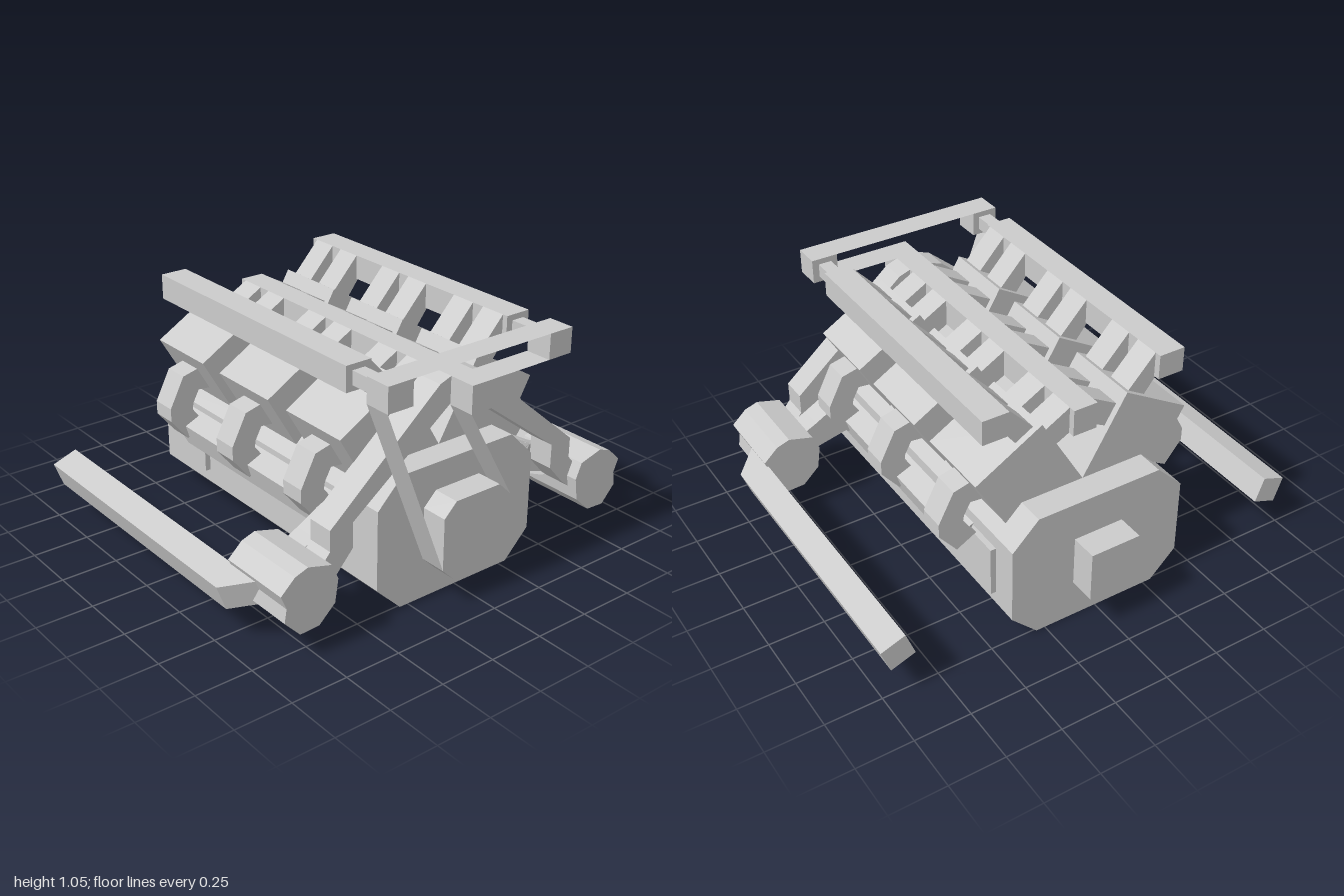
import * as THREE from 'three';

export function createModel() {
  const root = new THREE.Group();
  root.name = 'engine';
  const mat = new THREE.MeshStandardMaterial({ color: 0xcccccc, flatShading: true });
  const thin = new THREE.MeshStandardMaterial({ color: 0xcccccc, flatShading: true, side: THREE.DoubleSide });

  // Outline in x,y swept from z0 to z1; an optional rule shifts the ends for mitres
  function prism(name, pts, z0, z1, side = 1, rule = null) {
    const shape = new THREE.Shape(pts.map(([x, y]) => new THREE.Vector2(x, y)));
    const geo = new THREE.ExtrudeGeometry(shape, { depth: z1 - z0, bevelEnabled: false });
    geo.translate(0, 0, z0);
    if (rule) {
      const p = geo.attributes.position;
      for (let i = 0; i < p.count; i++) {
        p.setZ(i, rule(p.getX(i), p.getY(i), p.getZ(i) > (z0 + z1) / 2, p.getZ(i)));
      }
    }
    if (side < 0) {
      // mirror in x and turn the triangles round again
      geo.scale(-1, 1, 1);
      const p = geo.attributes.position;
      for (let i = 0; i < p.count; i += 3) {
        const a = [p.getX(i), p.getY(i), p.getZ(i)];
        p.setXYZ(i, p.getX(i + 1), p.getY(i + 1), p.getZ(i + 1));
        p.setXYZ(i + 1, ...a);
      }
    }
    geo.computeVertexNormals();
    const mesh = new THREE.Mesh(geo, mat);
    mesh.name = name;
    root.add(mesh);
  }
  const rect = (x0, x1, y0, y1) => [[x0, y0], [x1, y0], [x1, y1], [x0, y1]];
  const octagon = (w, y0, y1, c) => [
    [-w + c, y0], [w - c, y0], [w, y0 + c], [w, y1 - c],
    [w - c, y1], [-w + c, y1], [-w, y1 - c], [-w, y0 + c]];

  // Centre parts
  prism('crankcase', octagon(0.41, 0, 0.59, 0.12), -0.76, 0.76);
  prism('outputShaft', rect(-0.115, 0.115, 0.18, 0.41), -0.88, -0.76);
  prism('crankPulley', octagon(0.175, 0.12, 0.47, 0.06), 0.76, 0.88);
  prism('intakePlenum', rect(-0.055, 0.055, 0.82, 0.94), -0.64, 0.76);
  prism('idlerPulley', rect(-0.055, 0.055, 0.82, 0.94), 0.76, 0.88);

  // Drive belt: a thin closed ribbon around the pulleys
  const path = [[-0.47, 1.05], [0.47, 1.05], [0.47, 0.94], [-0.055, 0.94], [-0.055, 0.82],
    [0.175, 0.41], [0.175, 0.18], [0.115, 0.12], [-0.115, 0.12], [-0.175, 0.18], [-0.47, 0.94]];
  const pos = [], idx = [];
  path.forEach(([x, y], i) => {
    pos.push(x, y, 0.76, x, y, 0.88);
    const a = 2 * i, b = 2 * ((i + 1) % path.length);
    idx.push(a, a + 1, b, b, a + 1, b + 1);
  });
  const beltGeo = new THREE.BufferGeometry();
  beltGeo.setAttribute('position', new THREE.Float32BufferAttribute(pos, 3));
  beltGeo.setIndex(idx);
  beltGeo.computeVertexNormals();
  const belt = new THREE.Mesh(beltGeo, thin);
  belt.name = 'driveBelt';
  root.add(belt);

  for (const s of [1, -1]) {
    // Three cylinder heads per bank, each with two pairs of runners and one exhaust
    for (const z of [-0.465, 0.005, 0.47]) {
      prism('cylinderHead', [[0, 0.59], [0.2, 0.93], [0.5, 0.755], [0.365, 0.52], [0.2, 0.4]],
        z - 0.172, z + 0.172, s);
      for (const d of [-0.0875, 0.0875]) {
        const a = z + d - 0.058, b = z + d + 0.058;
        prism('intakeRunner', [[0.055, 0.94], [0.055, 0.82], [0.13, 0.78], [0.17, 0.875]], a, b, s);
        prism('railRunner', [[0.35, 1.05], [0.22, 0.91], [0.29, 0.85], [0.36, 0.94]], a, b, s);
      }
      prism('exhaustPipe', [[0.45, 0.685], [0.53, 0.665], [0.6, 0.53], [0.6, 0.47], [0.52, 0.37],
        [0.43, 0.42], [0.49, 0.5], [0.485, 0.53], [0.455, 0.585], [0.4, 0.58]],
        z - 0.058, z + 0.058, s);
    }

    // Upper rail with the shaft and pulley at its front
    prism('upperRail', rect(0.35, 0.47, 0.94, 1.05), -0.64, 0.64, s);
    prism('railShaft', rect(0.38, 0.44, 0.965, 1.025), 0.64, 0.76, s);
    prism('railPulley', rect(0.35, 0.47, 0.94, 1.05), 0.76, 0.88, s);

    // Plate on the flank of the crankcase
    prism('sidePlate', rect(0.4, 0.435, 0.18, 0.41), -0.64, -0.41, s);

    // Exhaust log, cut slanting at both ends, and its link to the turbo
    prism('exhaustLog', [[0.41, 0.3], [0.5, 0.33], [0.53, 0.43], [0.44, 0.47]], -0.5, 0.6, s,
      (x, y, front) => front ? 0.53 + (x - 0.41) * 0.9 : -0.41 - Math.min(0.11, y - 0.3));
    prism('turboInlet', [[0.42, 0.3], [0.61, 0.255], [0.7, 0.24], [0.7, 0.34], [0.62, 0.38], [0.53, 0.43],
      [0.44, 0.44]], 0.53, 0.64, s,
      (x, y, front, z) => front && x < 0.53 ? 0.64 - (0.53 - x) * 0.9 : z);

    // Charge pipe from the turbo up to the plenum
    prism('chargePipe', [[0.055, 0.94], [0.11, 0.92], [0.64, 0.47], [0.64, 0.38], [0.7, 0.31],
      [0.66, 0.23], [0.61, 0.27], [0.53, 0.36], [0.53, 0.47], [0.055, 0.825]], 0.64, 0.76, s);

    // Turbo body
    prism('turbo', [[0.67, 0.36], [0.78, 0.39], [0.84, 0.37], [0.905, 0.31], [0.88, 0.25],
      [0.89, 0.19], [0.82, 0.115], [0.73, 0.12], [0.655, 0.19], [0.64, 0.29]], 0.47, 0.81, s);

    // Tailpipe with a mitred elbow into the turbo
    prism('tailpipe', [[1, 0.25], [0.96, 0.14], [0.85, 0.18], [0.89, 0.29]], -0.76, 0.6, s,
      (x, y, front, z) => {
        const u = (x - 0.85) * 0.94 - (y - 0.18) * 0.34;
        return front ? 0.64 - u * 0.95 : z;
      });
  }
  return root;
}
